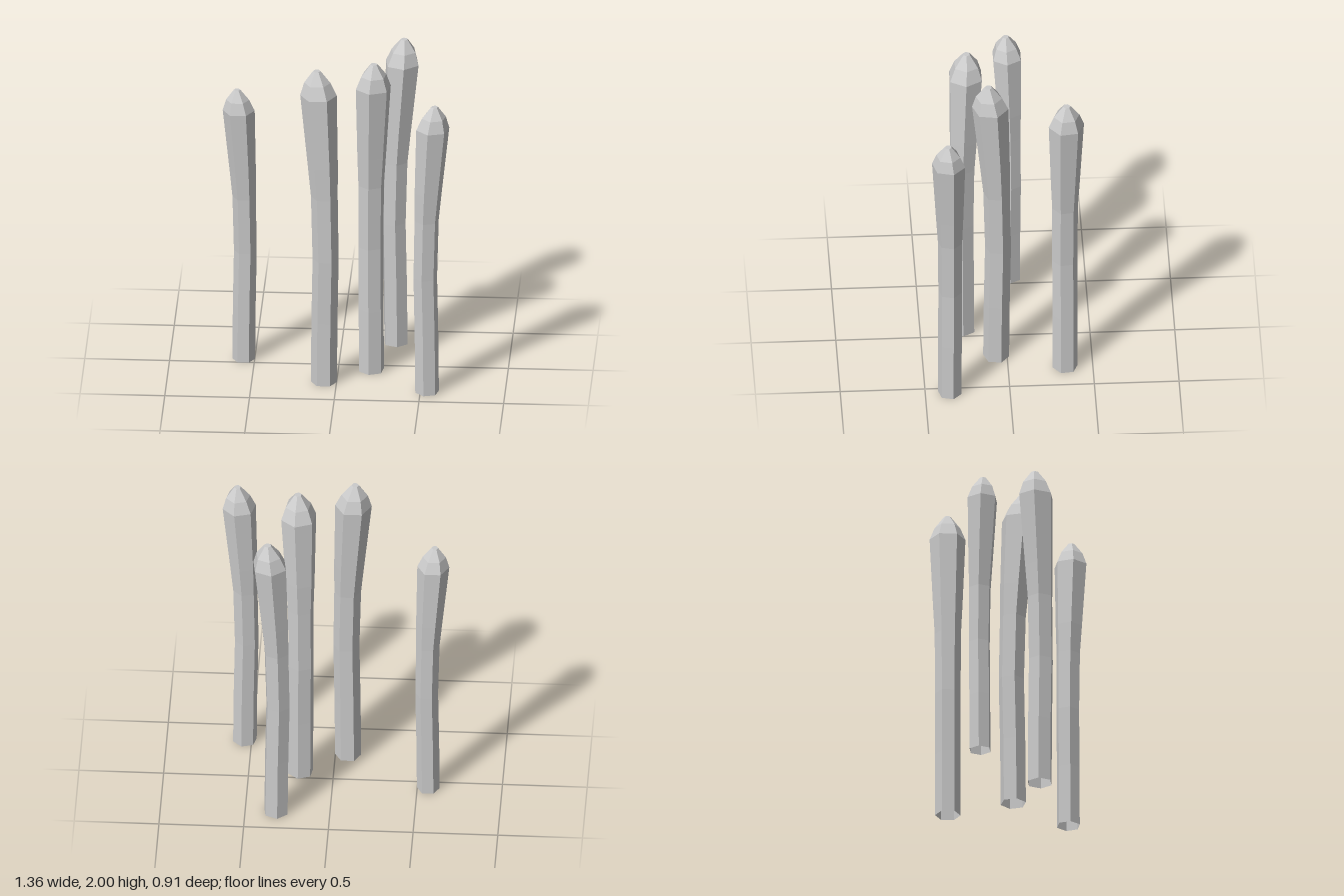
import * as THREE from 'three';

// Rings from the tip down: [height, radius, sideways bend]
const RINGS = [
  [2.0, 0, 0.05],
  [2.0, 0.022, 0.05],
  [1.925, 0.078, 0.046],
  [1.845, 0.108, 0.038],
  [1.4, 0.089, 0.008],
  [1.2, 0.079, -0.003],
  [0.8, 0.077, -0.012],
  [0.4, 0.077, -0.004],
  [0, 0.077, 0],
];

// Base x, base z, total height, direction of lean (x, z)
const STALKS = [
  [-0.565, -0.055, 1.75, -0.87, 0.5],
  [-0.075, 0.248, 2.0, -0.87, -0.5],
  [0.195, 0.064, 2.0, 0.35, 0.94],
  [0.318, -0.337, 1.96, 0.99, -0.14],
  [0.54, 0.355, 1.85, 0.97, 0.25],
];

// Six-sided hollow stalk, open at the foot, swelling to a blunt bud
function stalkGeometry() {
  const sides = 6;
  const geo = new THREE.CylinderGeometry(1, 1, 1, sides, RINGS.length - 1, true);
  const pos = geo.attributes.position;
  for (let i = 0; i < pos.count; i++) {
    const [y, r, bend] = RINGS[Math.floor(i / (sides + 1))];
    pos.setXYZ(i, pos.getX(i) * r + bend, y, pos.getZ(i) * r);
  }
  geo.computeVertexNormals();
  return geo;
}

export function createModel() {
  const group = new THREE.Group();
  group.name = 'stalkCluster';
  const material = new THREE.MeshStandardMaterial({
    color: 0xcccccc, flatShading: true, side: THREE.DoubleSide,
  });
  const geometry = stalkGeometry();

  STALKS.forEach(([x, z, height, leanX, leanZ], i) => {
    const stalk = new THREE.Mesh(geometry, material);
    stalk.name = `stalk${i + 1}`;
    stalk.position.set(x, 0, z);
    stalk.rotation.y = Math.atan2(-leanZ, leanX);
    stalk.scale.setScalar(height / 2);
    group.add(stalk);
  });
  return group;
}
